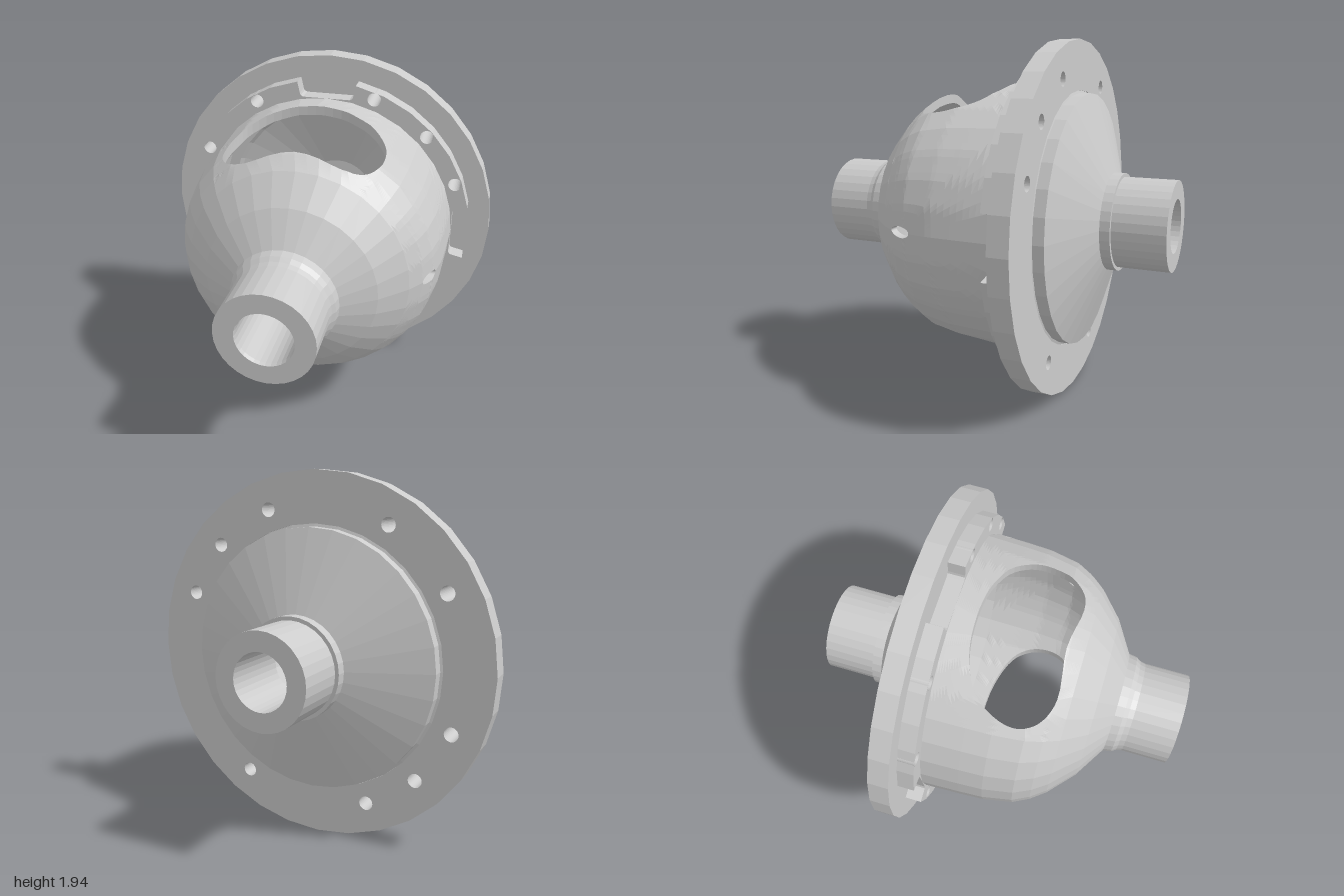
import * as THREE from 'three';

const SIDES = 32, STEP = (Math.PI * 2) / SIDES, WALL = 0.05;
const material = new THREE.MeshStandardMaterial({ color: 0xcccccc, flatShading: true, side: THREE.DoubleSide });

// Bell profile as [radius, z]
const BELL = [[0.75, -0.255], [0.742, -0.05], [0.735, 0.08], [0.705, 0.24], [0.66, 0.33], [0.6, 0.41]];
const Z0 = BELL[0][1], Z1 = BELL[BELL.length - 1][1];

function bellRadius(z) {
  let i = 0;
  while (i < BELL.length - 2 && z > BELL[i + 1][1]) i++;
  const [r0, a] = BELL[i], [r1, b] = BELL[i + 1];
  return r0 + ((r1 - r0) * (z - a)) / (b - a);
}

// Point on the faceted bell, inset from the outside
function bellPoint(theta, z, inset) {
  const local = theta - Math.floor(theta / STEP + 1e-6) * STEP - STEP / 2;
  const r = ((bellRadius(z) - inset) * Math.cos(STEP / 2)) / Math.cos(local);
  return [r * Math.cos(theta), r * Math.sin(theta), z];
}

// Lathe about the z axis from [radius, z] points
function turned(points, segments = SIDES, start = 0, length = Math.PI * 2) {
  const geometry = new THREE.LatheGeometry(points.map(([r, z]) => new THREE.Vector2(r, z)), segments, start, length);
  return geometry.rotateX(Math.PI / 2);
}

// Quarter of the bell with an opening: outside, cut edge and inside as one strip.
// opening(t, inset) gives [angle from centre, z]; flip mirrors the direction of travel.
function openQuarter(centre, opening, flip) {
  const perSide = 16, rows = 14, around = perSide * 4, dir = flip ? -1 : 1;
  const corners = [[-1, -1], [1, -1], [1, 1], [-1, 1]];
  const positions = [], index = [];
  for (let i = 0; i < rows * 2; i++) {
    const inside = i >= rows, inset = inside ? WALL : 0;
    const k = (inside ? rows * 2 - 1 - i : i) / (rows - 1);
    for (let j = 0; j < around; j++) {
      const side = Math.floor(j / perSide), f = (j % perSide) / perSide;
      const a = corners[side], b = corners[(side + 1) % 4];
      const u = ((a[0] + (b[0] - a[0]) * f) * dir * Math.PI) / 4;
      const v = Z0 + ((a[1] + (b[1] - a[1]) * f + 1) / 2) * (Z1 - Z0);
      const [hu, hv] = opening(j / around, inset);
      positions.push(...bellPoint(centre + u + (hu - u) * k, v + (hv - v) * k, inset));
      if (i < rows * 2 - 1) {
        const p = i * around + j, q = i * around + ((j + 1) % around), r = p + around, s = q + around;
        index.push(...(flip ? [p, r, q, q, r, s] : [p, q, r, q, s, r]));
      }
    }
  }
  let geometry = new THREE.BufferGeometry();
  geometry.setAttribute('position', new THREE.Float32BufferAttribute(positions, 3));
  geometry.setIndex(index);
  geometry = geometry.toNonIndexed();
  geometry.computeVertexNormals();
  return geometry;
}

// Plate parallel to the flange with a central opening and bolt holes
const BOLT_ANGLES = [22, 45, 70.5, 120, 151.5, 202.5, 226, 249, 302];
function plate(shape, z, depth) {
  const hole = (x, y, r) => shape.holes.push(new THREE.Path().absarc(x, y, r, 0, Math.PI * 2, true));
  hole(0, 0, 0.7);
  for (const deg of BOLT_ANGLES) {
    const a = THREE.MathUtils.degToRad(deg);
    hole(0.81 * Math.cos(a), 0.81 * Math.sin(a), 0.038);
  }
  return new THREE.ExtrudeGeometry(shape, { depth, bevelEnabled: false, curveSegments: SIDES / 2 }).translate(0, 0, z);
}

// Raised ring outline with four notches
function notchedShape() {
  const points = [];
  for (let q = 0; q < 4; q++) {
    const turn = (q * Math.PI) / 2, zero = new THREE.Vector2();
    const notch = [[0.77, -0.152], [0.757, -0.147], [0.75, -0.132], [0.75, 0.132], [0.757, 0.147], [0.77, 0.152]];
    for (const [x, y] of notch) points.push(new THREE.Vector2(x, y).rotateAround(zero, turn));
    for (let i = 1; i <= 7; i++) {
      points.push(new THREE.Vector2(0.85 * Math.cos(turn + i * STEP), 0.85 * Math.sin(turn + i * STEP)));
    }
  }
  return new THREE.Shape(points);
}

export function createModel() {
  const model = new THREE.Group();
  const add = (name, geometry) => {
    const mesh = new THREE.Mesh(geometry, material);
    mesh.name = name;
    mesh.position.y = 0.97;
    model.add(mesh);
  };

  // Flange and the notched ring in front of it
  add('flange', plate(new THREE.Shape().absarc(0, 0, 0.968, 0, Math.PI * 2), -0.455, 0.11));
  add('notchedRing', plate(notchedShape(), -0.345, 0.09));

  // Wide windows through the top and bottom of the bell, four points per side, as x and z
  const windowCurve = new THREE.CatmullRomCurve3([
    [-0.37, -0.05], [-0.22, -0.12], [-0.03, -0.14], [0.16, -0.12],
    [0.32, -0.05], [0.39, 0.05], [0.405, 0.15], [0.385, 0.25],
    [0.32, 0.325], [0.22, 0.348], [-0.03, 0.318], [-0.28, 0.342],
    [-0.39, 0.3], [-0.45, 0.23], [-0.465, 0.15], [-0.44, 0.05],
  ].map(([x, z]) => new THREE.Vector3(x, 0, z)), true);
  for (const top of [true, false]) {
    const opening = (t, inset) => {
      const p = windowCurve.getPoint(t);
      return [(top ? -1 : 1) * Math.asin(p.x / (bellRadius(p.z) - inset)), p.z];
    };
    add(top ? 'topWindowWall' : 'bottomWindowWall', openQuarter(top ? Math.PI / 2 : Math.PI * 1.5, opening, top));
  }

  // Side walls, the left one with a small oil hole
  const oilHole = (t) => {
    const a = t * Math.PI * 2 - Math.PI * 0.75;
    return [0.043 * Math.cos(a), 0.265 + 0.065 * Math.sin(a)];
  };
  add('leftWall', openQuarter(0, oilHole, false));
  const inner = BELL.map(([r, z]) => [r - WALL, z]).reverse();
  add('rightWall', turned([...BELL, ...inner], 8, Math.PI * 1.25, Math.PI / 2));

  // Front of the bell running into the hollow front neck
  add('frontNeck', turned([
    [0.6, 0.41], [0.46, 0.54], [0.285, 0.65], [0.278, 0.695], [0.262, 0.72], [0.255, 0.75],
    [0.255, 1], [0.15, 1], [0.145, 0.98], [0.145, 0.61], [0.25, 0.6], [0.42, 0.5], [0.55, 0.41], [0.6, 0.41],
  ]));

  // Conical rear cover with a stepped hollow neck
  add('rearCover', turned([
    [0.145, -1], [0.245, -1], [0.245, -0.715], [0.265, -0.715], [0.265, -0.66], [0.685, -0.515],
    [0.685, -0.455], [0.7, -0.45], [0.64, -0.45], [0.62, -0.48], [0.22, -0.62], [0.145, -0.62], [0.145, -1],
  ]));
  return model;
}
